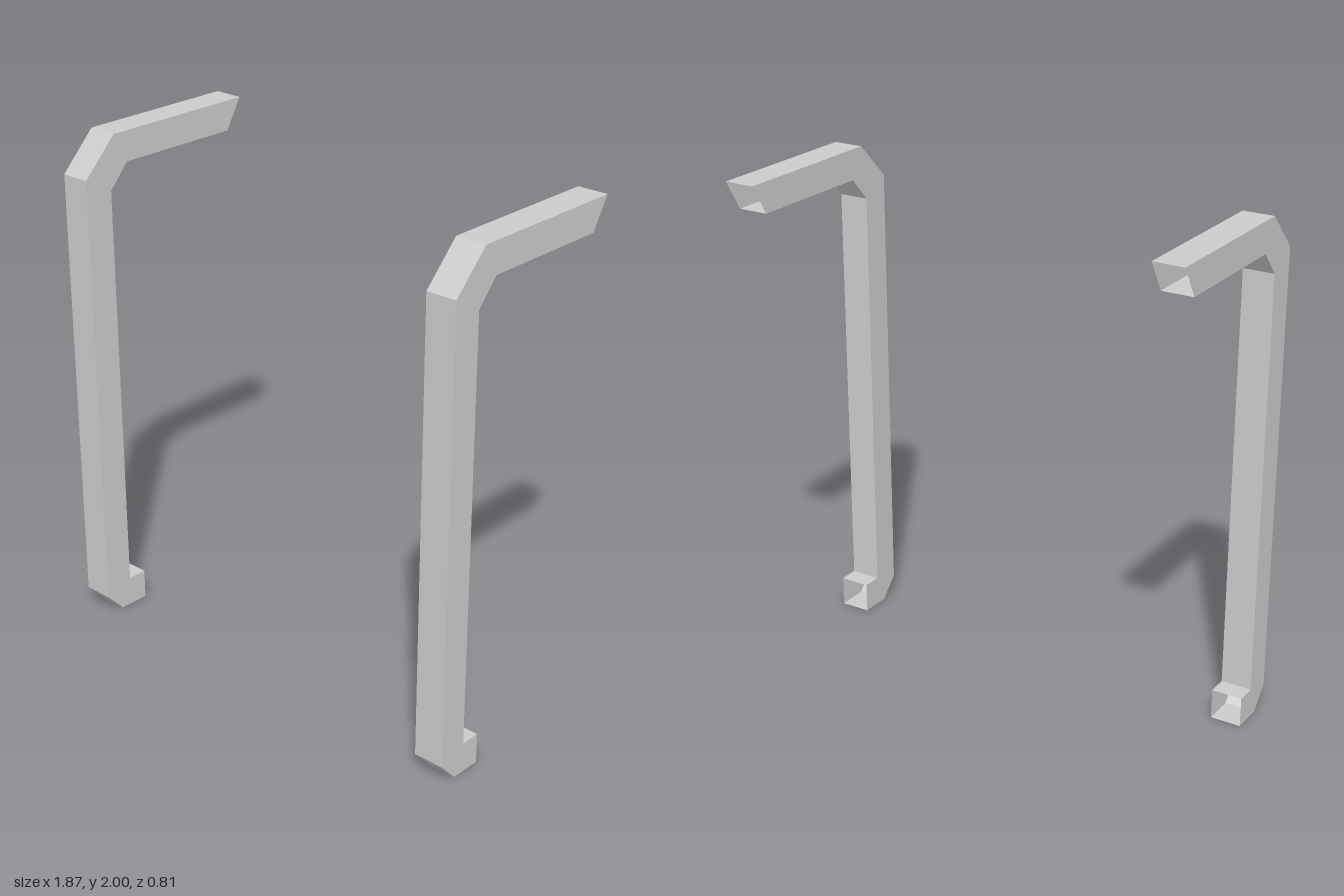
import * as THREE from 'three';

// Sections along the bar: [outer z, outer y, inner z, inner y], top end to foot
const SECTIONS = [
  [-0.405, 2.0, -0.333, 1.88],
  [0.26, 2.0, 0.2, 1.88],
  [0.405, 1.853, 0.285, 1.785],
  [0.405, 0.08, 0.285, 0.12],
  [0.33, 0, 0.285, 0.12],
  [0.205, 0, 0.205, 0.12],
];
const HALF_WIDTH = 0.061;
const OFFSET = 0.873;

// Hollow square tube with mitred bends and open ends
function barGeometry() {
  const rings = SECTIONS.map(([oz, oy, iz, iy]) => [
    new THREE.Vector3(-HALF_WIDTH, oy, oz),
    new THREE.Vector3(HALF_WIDTH, oy, oz),
    new THREE.Vector3(HALF_WIDTH, iy, iz),
    new THREE.Vector3(-HALF_WIDTH, iy, iz),
  ]);
  const points = [];
  const addTriangle = (a, b, c) => {
    // The inner corner at the foot is shared by two sections
    if (a.equals(b) || b.equals(c) || c.equals(a)) return;
    points.push(a, b, c);
  };
  for (let s = 0; s < rings.length - 1; s++) {
    for (let i = 0; i < 4; i++) {
      const j = (i + 1) % 4;
      const a = rings[s][i], b = rings[s][j];
      const c = rings[s + 1][j], d = rings[s + 1][i];
      addTriangle(a, d, c);
      addTriangle(a, c, b);
    }
  }
  const geometry = new THREE.BufferGeometry().setFromPoints(points);
  geometry.computeVertexNormals();
  return geometry;
}

export function createModel() {
  const group = new THREE.Group();
  group.name = 'bracketPair';
  const material = new THREE.MeshStandardMaterial({
    color: 0xcccccc, flatShading: true, side: THREE.DoubleSide,
  });
  const geometry = barGeometry();
  // Matching left and right bars
  for (const [name, side] of [['leftBar', 1], ['rightBar', -1]]) {
    const bar = new THREE.Mesh(geometry, material);
    bar.name = name;
    bar.position.x = side * OFFSET;
    group.add(bar);
  }
  return group;
}
